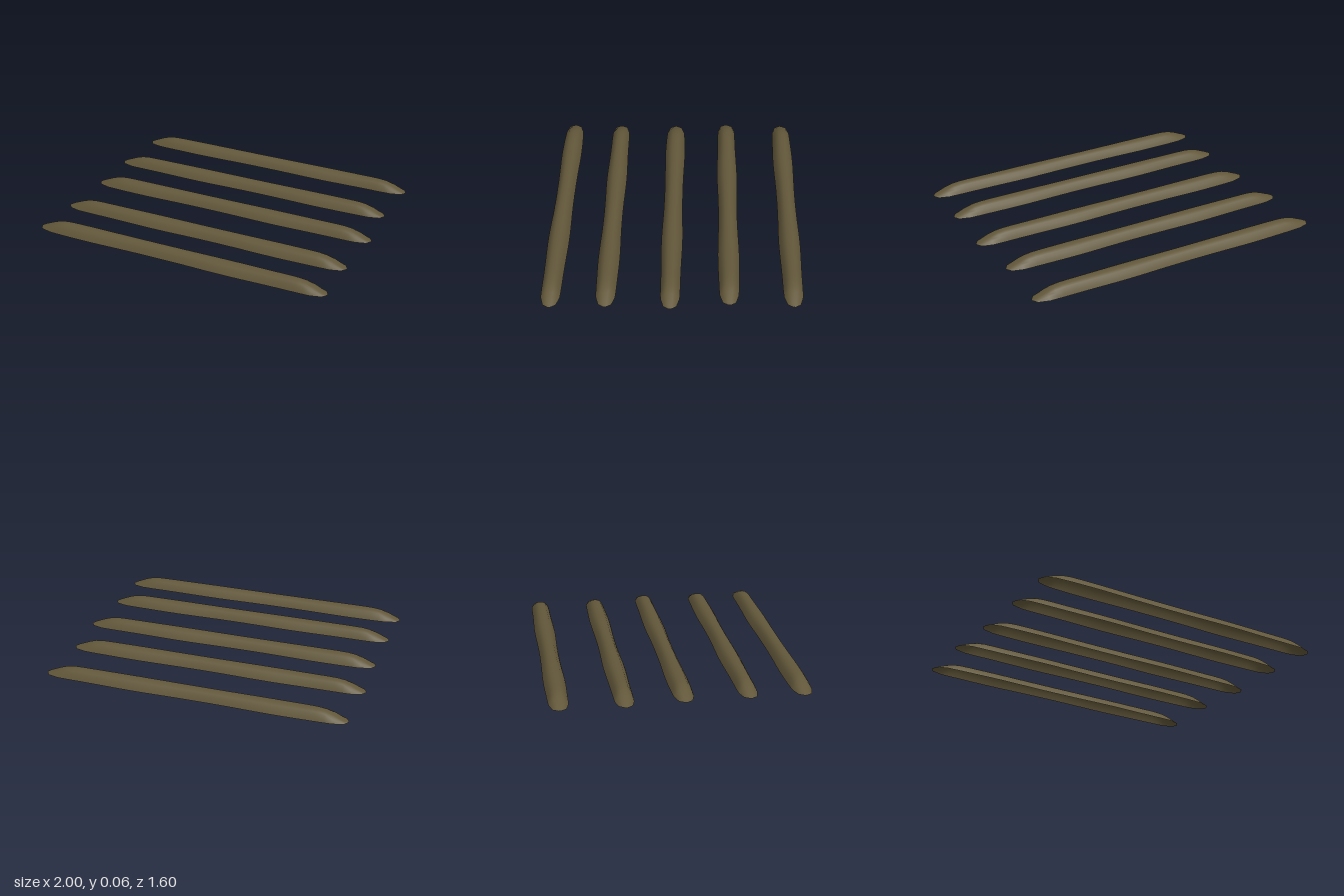
import * as THREE from 'three';

// Half cross-section of a mound: [sideways, up], as fractions of half-width and height
const HALF = [[1, 0], [0.89, 0.27], [0.74, 0.54], [0.56, 0.8], [0.3, 0.96]];
const SECTION = [...HALF, [0, 1], ...HALF.map(([s, u]) => [-s, u]).reverse()];

// Tapered end: [distance from tip, width fraction, height fraction]
const END = [[0, 0.1, 0.01], [0.022, 0.66, 0.15], [0.09, 0.96, 0.62], [0.14, 0.99, 0.88], [0.19, 1, 0.98]];

const HEIGHT = 0.063;

// Each row: tips along x, position in z, and the two places where it bulges
const ROWS = [
  { x0: -0.99, x1: 0.965, z: -0.736, bulges: [-0.54, 0.36] },
  { x0: -1.0, x1: 0.955, z: -0.348, bulges: [-0.38, 0.5] },
  { x0: -0.975, x1: 0.997, z: 0.01, bulges: [-0.62, 0.34] },
  { x0: -0.972, x1: 0.987, z: 0.4, bulges: [-0.32, 0.53] },
  { x0: -0.975, x1: 0.997, z: 0.732, bulges: [-0.62, 0.34] },
];

// Open-bottomed mound lofted along x
function moundGeometry({ x0, x1, bulges }) {
  const stations = END.map(([d, w, h]) => [x0 + d, w, h]);
  const from = x0 + 0.25, to = x1 - 0.25, steps = 20;
  for (let i = 0; i <= steps; i++) stations.push([from + ((to - from) * i) / steps, 1, 1]);
  for (const [d, w, h] of [...END].reverse()) stations.push([x1 - d, w, h]);

  const positions = [], indices = [], n = SECTION.length;
  stations.forEach(([x, w, h], i) => {
    const swell = bulges.reduce((sum, b) => sum + Math.exp(-(((x - b) / 0.24) ** 2)), 0);
    const halfWidth = (0.0605 + 0.0075 * swell) * w;
    for (const [s, u] of SECTION) positions.push(x, u * h * HEIGHT, s * halfWidth);
    if (i === 0) return;
    for (let j = 0; j < n - 1; j++) {
      const a = (i - 1) * n + j, b = i * n + j;
      indices.push(a, b, a + 1, b, b + 1, a + 1);
    }
  });

  const geometry = new THREE.BufferGeometry();
  geometry.setAttribute('position', new THREE.Float32BufferAttribute(positions, 3));
  geometry.setIndex(indices);
  geometry.computeVertexNormals();
  return geometry;
}

export function createModel() {
  const group = new THREE.Group();
  group.name = 'soilRows';
  const soil = new THREE.MeshStandardMaterial({ color: 0x62573a, side: THREE.DoubleSide });

  // Five parallel soil mounds
  ROWS.forEach((row, i) => {
    const mound = new THREE.Mesh(moundGeometry(row), soil);
    mound.name = `soilMound${i + 1}`;
    mound.position.z = row.z;
    group.add(mound);
  });
  return group;
}
